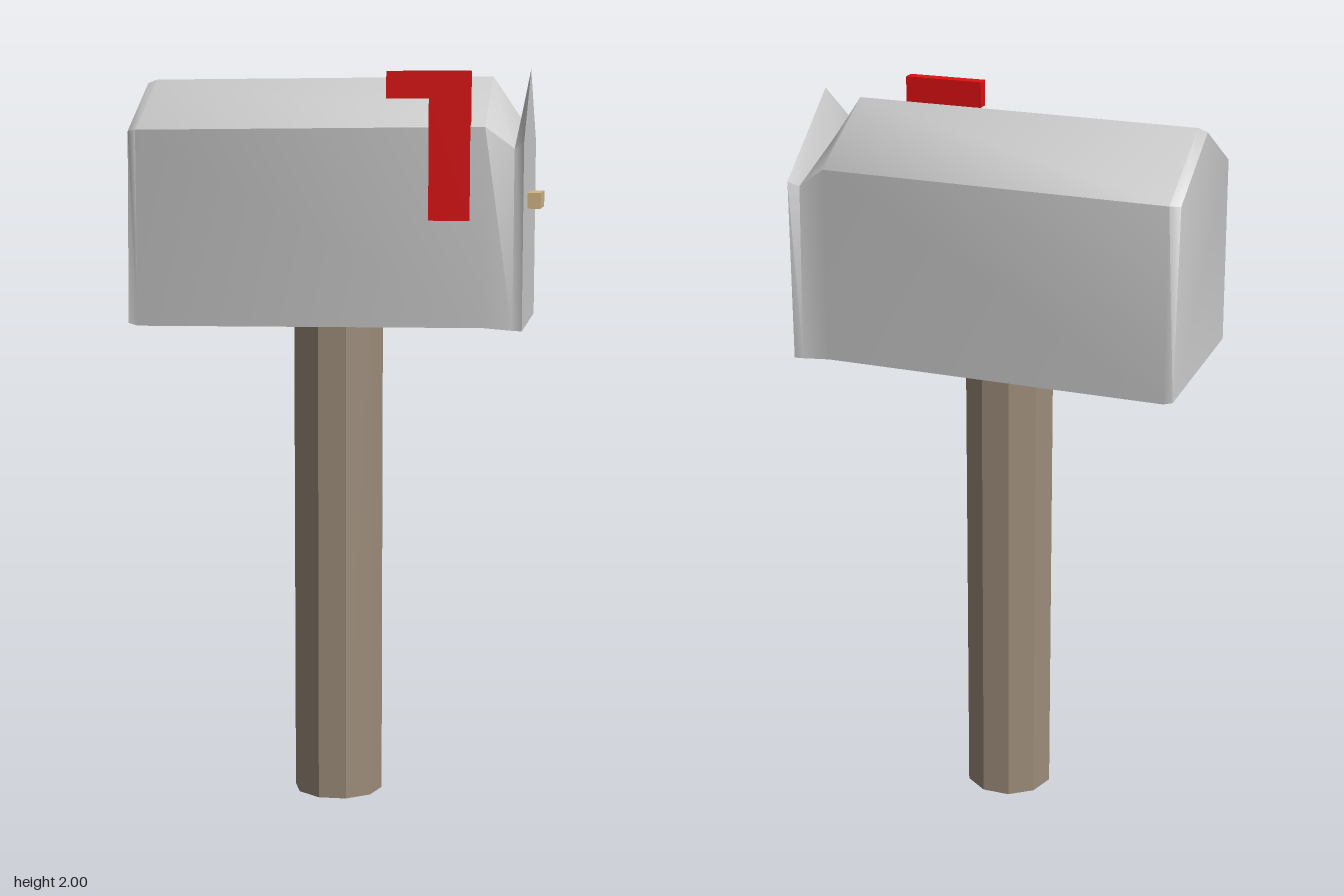
import * as THREE from 'three';
import { toCreasedNormals } from 'three/addons/utils/BufferGeometryUtils.js';

const GREY = 0xcccccc, RED = 0xe01012, POST = 0x9c8c7a, HANDLE = 0xd3b585;

function addMesh(parent, name, geometry, color, flatShading = false) {
  const mesh = new THREE.Mesh(geometry, new THREE.MeshStandardMaterial({ color, flatShading }));
  mesh.name = name;
  parent.add(mesh);
  return mesh;
}

// Box given by its minimum and maximum corners
function addBox(parent, name, min, max, color) {
  const size = max.map((v, i) => v - min[i]);
  const mesh = addMesh(parent, name, new THREE.BoxGeometry(...size), color);
  mesh.position.set(...max.map((v, i) => (v + min[i]) / 2));
  return mesh;
}

// House-shaped sections lofted along x
function mailboxGeometry() {
  const zMid = -0.004;
  const sections = [
    // x, bottom y, bottom half width, eave y, eave half width, ridge y
    [-0.54, 1.333, 0.256, 1.838, 0.236, 1.967],
    [-0.515, 1.326, 0.256, 1.842, 0.256, 1.976],
    [0.405, 1.333, 0.256, 1.85, 0.256, 1.982],
    [0.48, 1.327, 0.256, 1.795, 0.238, 1.872],
    [0.505, 1.326, 0.256, 1.81, 0.256, 2.0],
  ];
  const positions = [], index = [];
  for (const [x, y0, w0, y1, w1, y2] of sections) {
    for (const [y, z] of [[y0, -w0], [y1, -w1], [y2, 0], [y1, w1], [y0, w0]]) {
      positions.push(x, y, z + zMid);
    }
  }
  const last = sections.length - 1;
  for (let i = 0; i < last; i++) {
    for (let k = 0; k < 5; k++) {
      const a = i * 5 + k, b = i * 5 + (k + 1) % 5;
      index.push(a, b, b + 5, a, b + 5, a + 5);
    }
  }
  // End walls
  const f = last * 5;
  for (let k = 1; k < 4; k++) {
    index.push(f, f + k, f + k + 1);
    index.push(0, k + 1, k);
  }
  const geometry = new THREE.BufferGeometry();
  geometry.setAttribute('position', new THREE.Float32BufferAttribute(positions, 3));
  geometry.setIndex(index);
  // Ridge stays smooth, eaves and ends stay sharp
  return toCreasedNormals(geometry, 1.02);
}

export function createModel() {
  const model = new THREE.Group();
  model.name = 'mailbox';

  // Ten-sided wooden post
  const post = addMesh(model, 'post',
    new THREE.CylinderGeometry(0.123, 0.123, 1.333, 10, 1, false, Math.PI / 2), POST, true);
  post.position.set(-0.014, 1.333 / 2, -0.003);

  addMesh(model, 'boxBody', mailboxGeometry(), GREY);

  addBox(model, 'doorHandle', [0.505, 1.635, -0.085], [0.54, 1.677, 0.083], HANDLE);

  // Raised signal flag: upright with an arm pointing to the rear
  const flagShape = new THREE.Shape([
    [0.26, 1.61], [0.367, 1.61], [0.367, 1.992], [0.15, 1.992], [0.15, 1.922], [0.26, 1.922],
  ].map(([x, y]) => new THREE.Vector2(x, y)));
  const flag = addMesh(model, 'signalFlag',
    new THREE.ExtrudeGeometry(flagShape, { depth: 0.034, bevelEnabled: false }), RED);
  flag.position.z = 0.223;

  return model;
}
